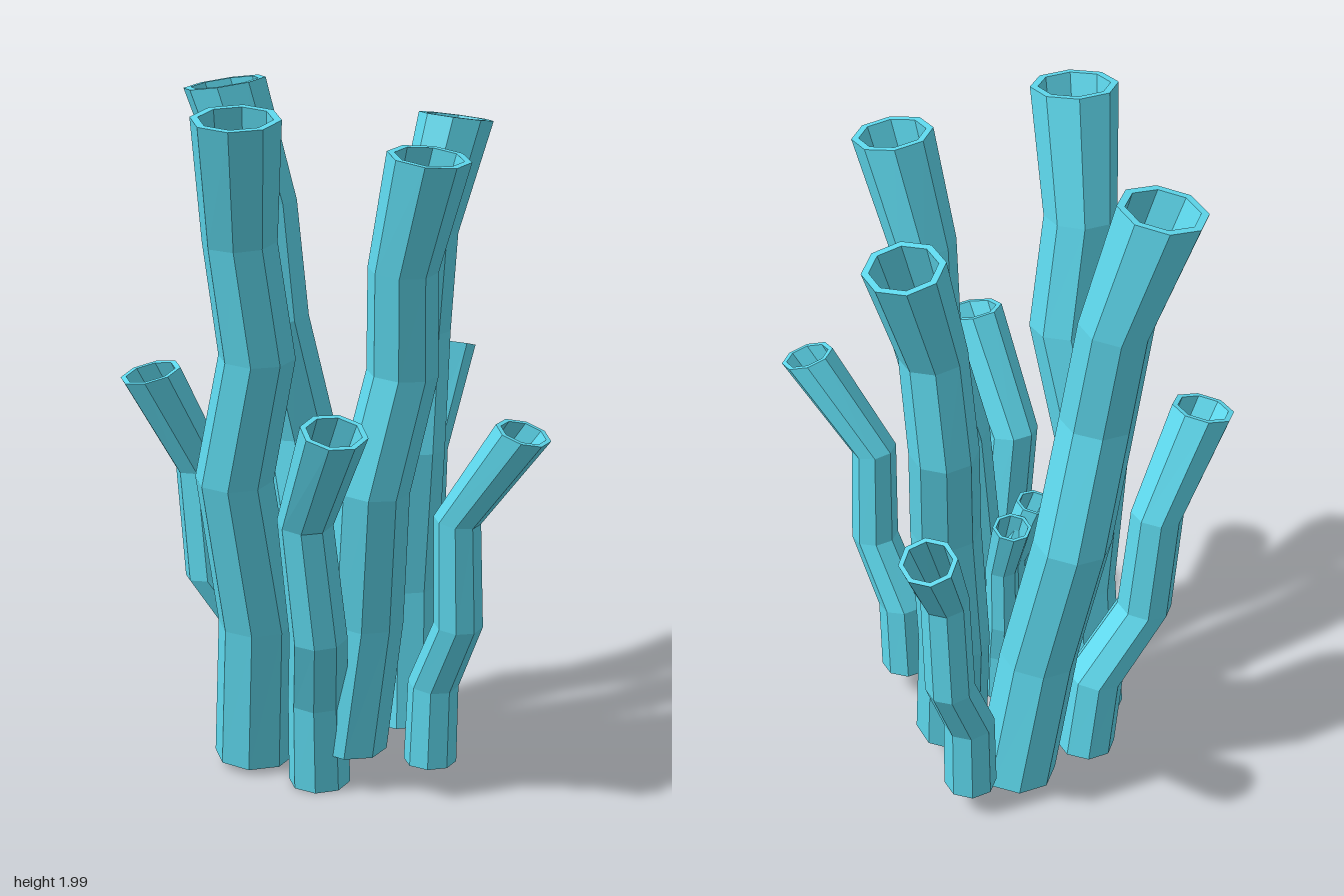
import * as THREE from 'three';

const SIDES = 8;
const UP = new THREE.Vector3(0, 1, 0);

// One ring of corners, its plane leaning halfway between level and the branch direction
function ring(path, i, radius) {
  const before = path[Math.max(i - 1, 0)], after = path[Math.min(i + 1, path.length - 1)];
  const normal = after.clone().sub(before).normalize().add(UP).normalize();
  const turn = new THREE.Quaternion().setFromUnitVectors(UP, normal);
  return Array.from({ length: SIDES }, (_, k) => {
    const a = ((k + 0.3) / SIDES) * Math.PI * 2;
    return new THREE.Vector3(Math.sin(a) * radius, 0, Math.cos(a) * radius)
      .applyQuaternion(turn).add(path[i]);
  });
}

// Hollow bent tube: outer wall up, rim, inner wall down, bottom rim.
// It narrows upwards and flares again at the mouth.
function tubeGeometry(path, radius) {
  const last = path.length - 1;
  const width = (i) => radius * (i === last ? 1.13 : 1.1 - 0.18 * i / last);
  const wall = (scale) => path.map((_, i) => ring(path, i, scale * width(i)));
  const outer = wall(1), inner = wall(0.82);
  const loops = [...outer, ...inner.reverse(), outer[0]];
  const corners = [];
  for (let i = 0; i < loops.length - 1; i++) {
    for (let k = 0; k < SIDES; k++) {
      const n = (k + 1) % SIDES;
      const a = loops[i][k], b = loops[i][n], c = loops[i + 1][n], d = loops[i + 1][k];
      corners.push(a, b, c, a, c, d);
    }
  }
  const geometry = new THREE.BufferGeometry().setFromPoints(corners);
  geometry.computeVertexNormals();
  return geometry;
}

export function createModel() {
  const group = new THREE.Group();
  group.name = 'tubeCluster';
  const material = new THREE.MeshStandardMaterial({ color: 0x5ed9ee, flatShading: true });

  // Bends sit at fixed fractions of the height; lean and sway set how far each
  // bend moves towards the mouth and sideways, as fractions of the base-to-mouth reach
  function addTube(name, radius, base, mouth, { rise, lean, sway }) {
    const from = new THREE.Vector3(...base), to = new THREE.Vector3(...mouth);
    const reach = to.clone().sub(from);
    const path = rise.map((t, i) => new THREE.Vector3(
      from.x + reach.x * lean[i] - reach.z * sway[i],
      from.y + reach.y * t,
      from.z + reach.z * lean[i] + reach.x * sway[i]));
    const mesh = new THREE.Mesh(tubeGeometry(path, radius), material);
    mesh.name = name;
    group.add(mesh);
  }

  // Tall tubes: five segments weaving from side to side
  const rise = [0, 0.225, 0.46, 0.65, 0.82, 1];
  const tall = { rise, lean: [0, 0.18, 0.42, 0.59, 0.7, 1], sway: [0, -0.05, 0.1, -0.1, 0.01, 0] };
  const tallLeft = { rise, lean: [0, 0.22, 0.32, 0.64, 0.62, 1], sway: [0, -0.13, -0.09, -0.22, -0.11, 0] };
  addTube('tallTubeBack', 0.108, [0.075, 0.04, -0.28], [-0.21, 1.976, -0.5], tall);
  addTube('tallTubeRight', 0.109, [-0.275, 0.03, -0.165], [-0.44, 1.98, 0.16], tall);
  addTube('tallTubeFront', 0.101, [-0.085, 0.12, 0.09], [0.02, 1.88, 0.38], tall);
  addTube('tallTubeLeft', 0.097, [0.155, 0.1, -0.065], [0.395, 1.88, -0.21], tallLeft);

  // Short tubes: upright foot, one step outwards, then a flared end
  const short = { rise: [0, 0.23, 0.43, 0.73, 1], lean: [0, 0.03, 0.36, 0.37, 1], sway: [0, 0, 0.06, 0.1, 0] };
  const wide = { ...short, lean: [0, 0.08, 0.5, 0.57, 1], sway: [0, 0, 0.05, 0.07, 0] };
  const hooked = { ...short, lean: [0, 0.08, 0.4, 0.46, 1], sway: [0, 0.02, 0.05, 0.15, 0] };
  addTube('shortTubeBackRight', 0.08, [-0.15, 0.06, -0.33], [-0.5, 1.17, -0.38], wide);
  addTube('shortTubeBackLeft', 0.07, [0.25, 0.09, -0.29], [0.505, 1.14, -0.455], short);
  addTube('shortTubeFrontLeft', 0.069, [0.1, 0.1, 0.25], [0.23, 1.14, 0.54], short);
  addTube('shortTubeFrontRight', 0.082, [-0.165, 0.01, 0.06], [-0.275, 1.17, 0.42], hooked);

  // Small tubes hidden in the middle
  addTube('smallTubeRight', 0.05, [-0.05, 0.13, -0.03], [-0.12, 0.84, -0.105], short);
  addTube('smallTubeLeft', 0.05, [-0.04, 0.13, -0.05], [-0.01, 0.82, -0.14], short);

  return group;
}
